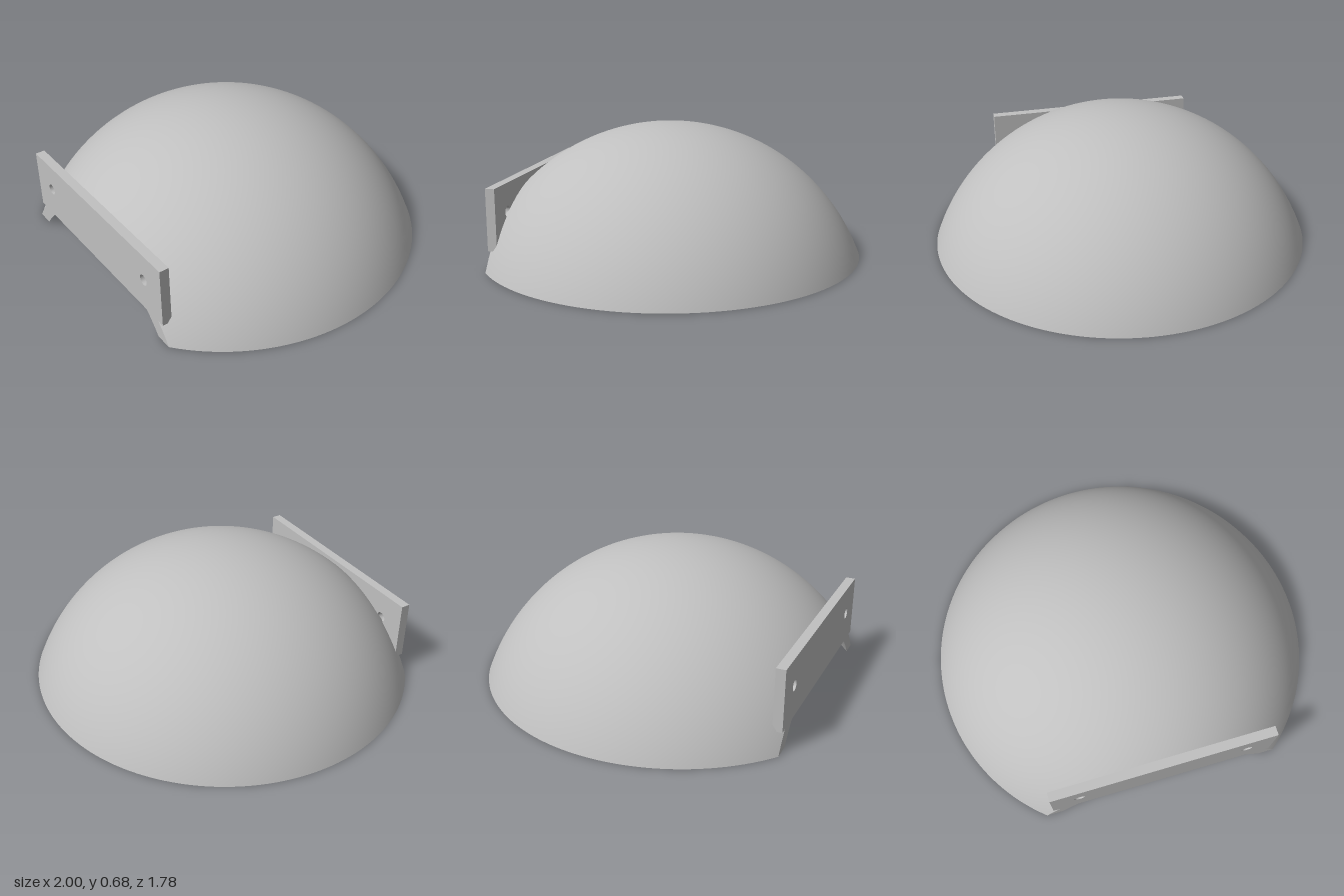
import * as THREE from 'three';

const CY = -0.395;          // sphere centre height
const CZ = 0.11;            // dome axis along z
const CUT = 0.78;           // front cut plane, measured from the dome axis
const R_OUT = 1.075, R_IN = 1.0277;

const rimRadius = (R) => Math.sqrt(R * R - CY * CY);

// Spherical cap with its front sliced off by the plane z = CUT
function capGeometry(R, inward) {
  const cols = 120, lower = 20, upper = 36;
  const rows = [];
  const aMax = Math.acos(CUT / rimRadius(R));
  for (let i = 0; i < lower; i++) {
    const a = aMax * (1 - i / lower);
    rows.push([CUT / Math.cos(a), a]);
  }
  const tMax = Math.asin(CUT / R);
  for (let i = 0; i <= upper; i++) rows.push([R * Math.sin(tMax * (1 - i / upper)), 0]);

  const pos = [], nor = [], idx = [], s = inward ? -1 : 1;
  rows.forEach(([r, a0], i) => {
    const h = Math.sqrt(R * R - r * r);
    for (let j = 0; j <= cols; j++) {
      const a = a0 + (2 * Math.PI - 2 * a0) * j / cols;
      const x = r * Math.sin(a), z = r * Math.cos(a);
      pos.push(x, h + CY, z + CZ);
      nor.push(s * x / R, s * h / R, s * z / R);
      if (i < rows.length - 1 && j < cols) {
        const p = i * (cols + 1) + j, q = p + cols + 1;
        if (inward) idx.push(p, q, p + 1, p + 1, q, q + 1);
        else idx.push(p, p + 1, q, p + 1, q + 1, q);
      }
    }
  });
  const g = new THREE.BufferGeometry();
  g.setAttribute('position', new THREE.Float32BufferAttribute(pos, 3));
  g.setAttribute('normal', new THREE.Float32BufferAttribute(nor, 3));
  g.setIndex(idx);
  return g;
}

// Flat ring under the shell, open at the front
function rimGeometry() {
  const n = 120;
  const arc = (r) => {
    const a0 = Math.acos(CUT / r), pts = [];
    for (let j = 0; j <= n; j++) {
      const a = a0 + (2 * Math.PI - 2 * a0) * j / n;
      pts.push(new THREE.Vector2(r * Math.sin(a), r * Math.cos(a)));
    }
    return pts;
  };
  const outline = [...arc(rimRadius(R_OUT)), ...arc(rimRadius(R_IN)).reverse()];
  const g = new THREE.ShapeGeometry(new THREE.Shape(outline));
  g.rotateX(Math.PI / 2);   // shape y becomes z, face points down
  g.translate(0, 0, CZ);
  return g;
}

// Cut face of the shell that shows below the plate
function cutFaceGeometry(side) {
  const edge = (R) => [0, 0.025, 0.05, 0.075, 0.1].map((y) =>
    new THREE.Vector2(side * Math.sqrt(R * R - CUT * CUT - (y - CY) ** 2), y));
  const g = new THREE.ShapeGeometry(new THREE.Shape([...edge(R_OUT), ...edge(R_IN).reverse()]));
  g.translate(0, 0, CZ + CUT);
  return g;
}

// Mounting plate with two screw holes
function plateGeometry() {
  const w = 0.585, y0 = 0.1, y1 = 0.415;
  const shape = new THREE.Shape([
    new THREE.Vector2(-w, y0), new THREE.Vector2(w, y0),
    new THREE.Vector2(w, y1), new THREE.Vector2(-w, y1),
  ]);
  for (const s of [-1, 1]) {
    shape.holes.push(new THREE.Path().absarc(s * 0.44, 0.27, 0.028, 0, Math.PI * 2, true));
  }
  const g = new THREE.ExtrudeGeometry(shape, { depth: 0.048, bevelEnabled: false, curveSegments: 24 });
  g.translate(0, 0, CZ + CUT - 0.048);
  return g;
}

export function createModel() {
  const group = new THREE.Group();
  group.name = 'domeCover';
  const grey = new THREE.MeshStandardMaterial({ color: 0xc0c0c0 });
  grey.name = 'light grey';
  const add = (name, geometry) => {
    const mesh = new THREE.Mesh(geometry, grey);
    mesh.name = name;
    group.add(mesh);
  };
  add('domeOuter', capGeometry(R_OUT, false));
  add('domeInner', capGeometry(R_IN, true));
  add('domeRim', rimGeometry());
  add('leftCutFace', cutFaceGeometry(1));
  add('rightCutFace', cutFaceGeometry(-1));
  add('mountingPlate', plateGeometry());
  return group;
}
